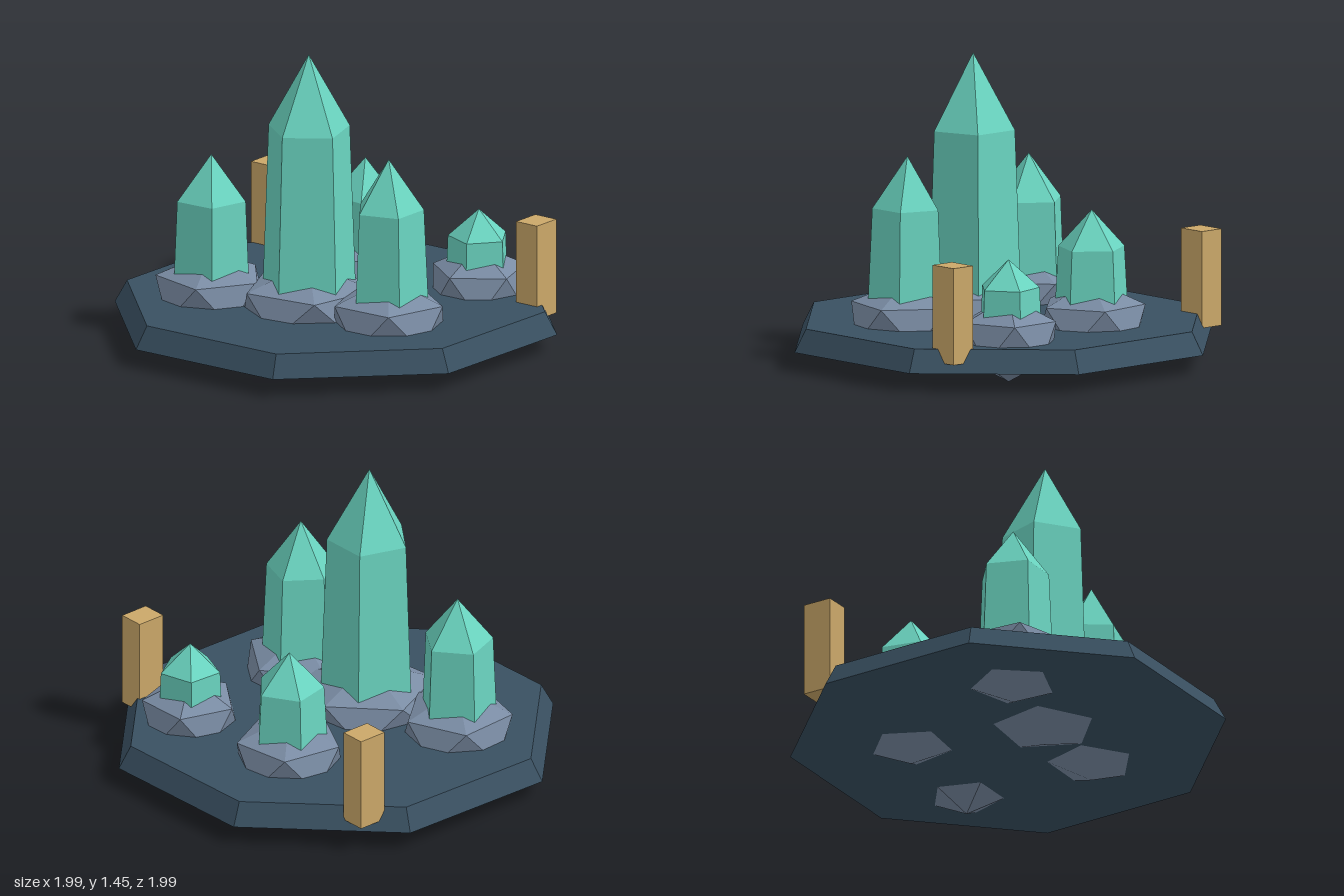
import * as THREE from 'three';
import { ConvexGeometry } from 'three/addons/geometries/ConvexGeometry.js';

const rad = THREE.MathUtils.degToRad;
const flat = (name, color) => {
  const m = new THREE.MeshStandardMaterial({ color, flatShading: true });
  m.name = name;
  return m;
};

export function createModel() {
  const slate = flat('dark slate', 0x395061);
  const stone = flat('grey stone', 0x7a8ca4);
  const crystal = flat('teal crystal', 0x6ad4c0);
  const wood = flat('tan wood', 0xcba869);

  const model = new THREE.Group();
  model.name = 'crystalPlatform';
  const add = (parent, name, geometry, material, x = 0, y = 0, z = 0) => {
    const mesh = new THREE.Mesh(geometry, material);
    mesh.name = name;
    mesh.position.set(x, y, z);
    parent.add(mesh);
    return mesh;
  };

  // Slightly skewed octagonal slab with sloping sides; opposite corners mirror
  const half = [[0.425, -0.997], [0.997, -0.43], [0.985, 0.39], [0.388, 0.982]];
  const corners = [...half, ...half.map(([x, z]) => [-x, -z])];
  const slab = corners.flatMap(([x, z]) => [
    new THREE.Vector3(x, 0.09, z),
    new THREE.Vector3(x * 0.945, 0.2, z * 0.945),
  ]);
  add(model, 'base', new ConvexGeometry(slab), slate);

  // Flattened icosahedron standing on one corner; phase turns its upper ring
  const rockGeometry = (radius, phase) => {
    const h = 0.205;
    const points = [new THREE.Vector3(0, -h, 0), new THREE.Vector3(0, h, 0)];
    for (let i = 0; i < 10; i++) {
      const a = rad(phase + i * 36);
      const y = (i % 2 ? -0.447 : 0.447) * h;
      points.push(new THREE.Vector3(radius * Math.cos(a), y, radius * Math.sin(a)));
    }
    return new ConvexGeometry(points);
  };

  // Each cluster: a boulder with a five-sided pointed crystal growing from it
  const clusters = [
    { name: 'centre', x: 0, z: 0.21, rock: 0.32, rockPhase: -97, foot: 0.234, rim: 0.203, phase: 90, rimY: 1.08, tip: 1.447 },
    { name: 'frontRight', x: -0.482, z: 0.345, rock: 0.265, rockPhase: -76, foot: 0.19, rim: 0.171, phase: 51, rimY: 0.675, tip: 0.895 },
    { name: 'frontLeft', x: 0.455, z: 0.175, rock: 0.27, rockPhase: -92, foot: 0.192, rim: 0.168, phase: 36, rimY: 0.755, tip: 1.003 },
    { name: 'backRight', x: -0.168, z: -0.44, rock: 0.256, rockPhase: 82, foot: 0.185, rim: 0.165, phase: -85, rimY: 0.57, tip: 0.752 },
    { name: 'backLeft', x: 0.448, z: -0.528, rock: 0.23, rockPhase: 89, foot: 0.158, rim: 0.148, phase: 75, rimY: 0.455, tip: 0.59 },
  ];
  for (const c of clusters) {
    const group = new THREE.Group();
    group.name = c.name + 'Cluster';
    group.position.set(c.x, 0, c.z);
    model.add(group);
    add(group, 'rock', rockGeometry(c.rock, c.rockPhase), stone, 0, 0.207, 0);

    const footY = 0.22;
    const start = rad(90 - c.phase);
    const bodyH = c.rimY - footY;
    const tipH = c.tip - c.rimY;
    add(group, 'crystalShaft',
      new THREE.CylinderGeometry(c.rim, c.foot, bodyH, 5, 1, true, start),
      crystal, 0, footY + bodyH / 2, 0);
    add(group, 'crystalPoint',
      new THREE.ConeGeometry(c.rim, tipH, 5, 1, true, start),
      crystal, 0, c.rimY + tipH / 2, 0);
  }

  // Two square posts at the back corners
  for (const [name, side] of [['leftPost', 1], ['rightPost', -1]]) {
    add(model, name, new THREE.BoxGeometry(0.126, 0.465, 0.148), wood, side * 0.8, 0.3675, -0.52);
  }

  return model;
}
